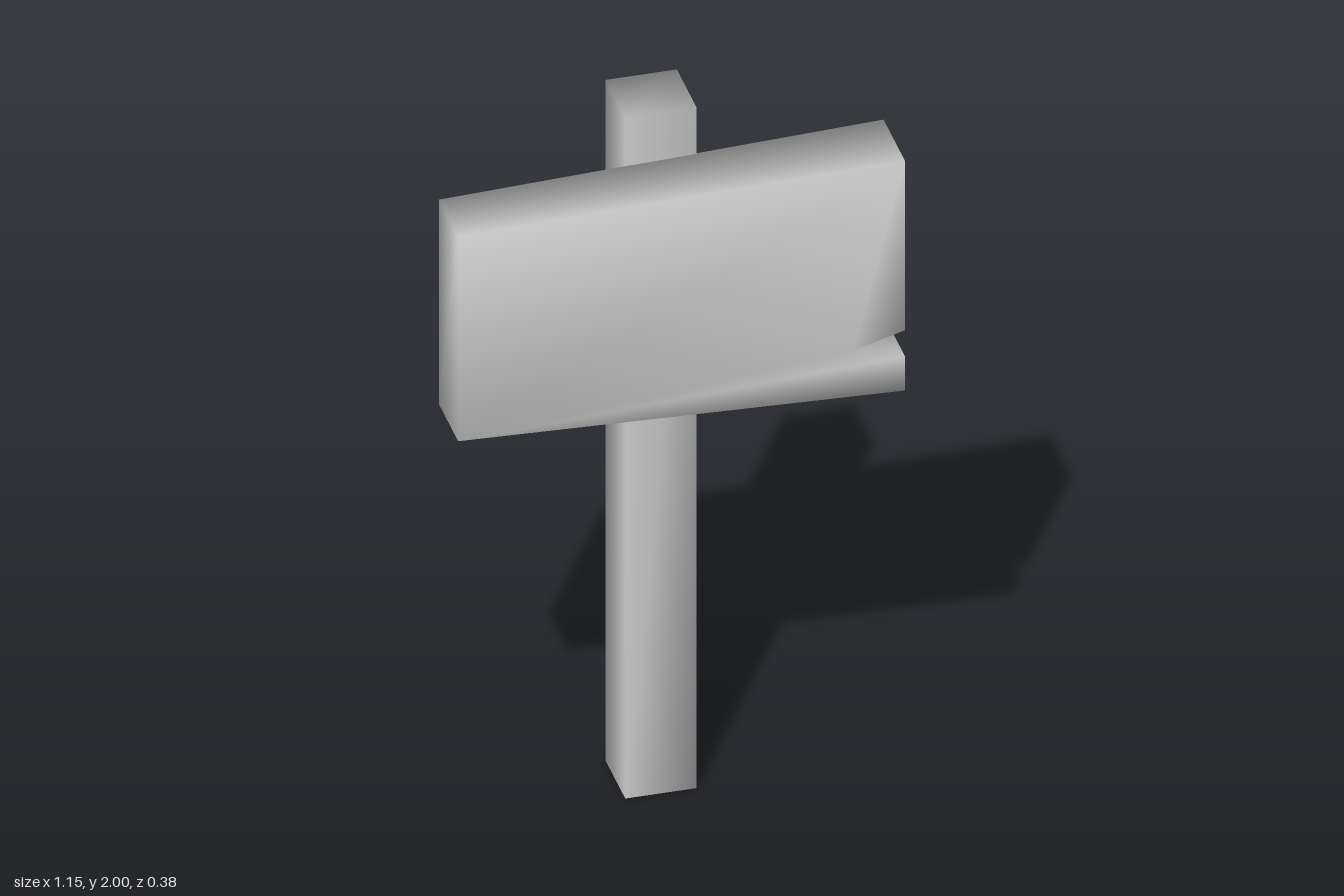
import * as THREE from 'three';
import { mergeVertices } from 'three/addons/utils/BufferGeometryUtils.js';

const material = new THREE.MeshStandardMaterial({ color: 0xcccccc });

// Weld the corners so the shading runs softly over the edges
function softMesh(geometry, name) {
  geometry.deleteAttribute('normal');
  geometry.deleteAttribute('uv');
  geometry.clearGroups();
  const welded = mergeVertices(geometry, 1e-4);
  welded.computeVertexNormals();
  const mesh = new THREE.Mesh(welded, material);
  mesh.name = name;
  return mesh;
}

// Square upright post
function createPost() {
  const geometry = new THREE.BoxGeometry(0.184, 2, 0.184);
  geometry.translate(-0.002, 1, -0.098);
  return softMesh(geometry, 'post');
}

// Skewed board with a split in its left end, slightly thicker on that side
function createBoard() {
  const outline = [
    [-0.576, 1.24], [0.575, 1.205], [0.575, 1.305], [0.44, 1.343],
    [0.575, 1.382], [0.575, 1.879], [-0.576, 1.841],
  ].map(([x, y]) => new THREE.Vector2(x, y));
  const geometry = new THREE.ExtrudeGeometry(new THREE.Shape(outline), {
    depth: 1, bevelEnabled: false,
  });
  const position = geometry.attributes.position;
  for (let i = 0; i < position.count; i++) {
    const t = (position.getX(i) + 0.576) / 1.151;
    const back = THREE.MathUtils.lerp(-0.003, -0.013, t);
    const front = THREE.MathUtils.lerp(0.177, 0.189, t);
    position.setZ(i, position.getZ(i) > 0.5 ? front : back);
  }
  return softMesh(geometry, 'signBoard');
}

export function createModel() {
  const group = new THREE.Group();
  group.name = 'signpost';
  group.add(createPost(), createBoard());
  return group;
}
